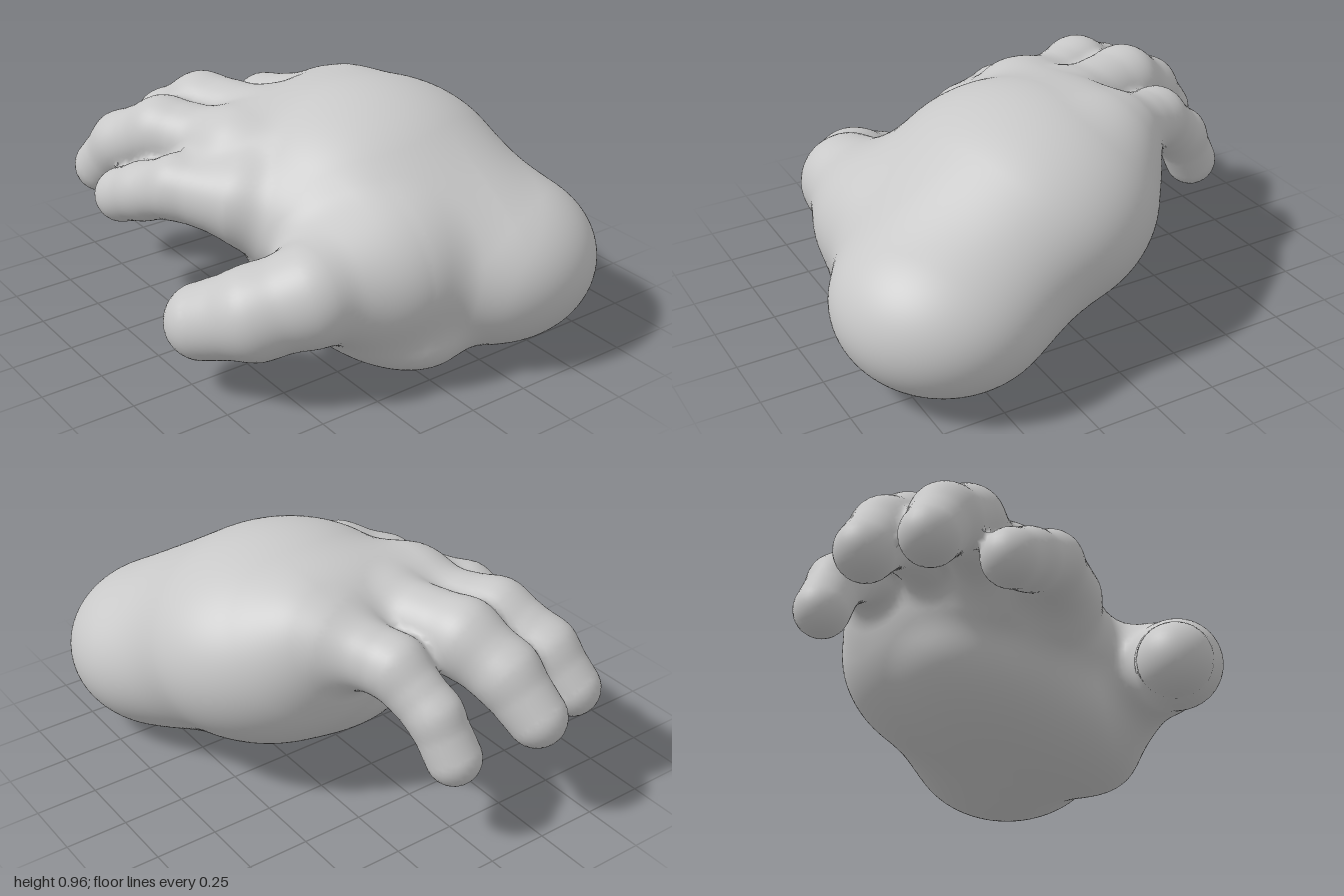
import * as THREE from 'three';
import { mergeVertices } from 'three/addons/utils/BufferGeometryUtils.js';

// Signed distance to an ellipsoid, optionally tilted about x
function ellipsoid([cx, cy, cz], [rx, ry, rz], tilt = 0) {
  const c = Math.cos(tilt), s = Math.sin(tilt);
  return (x, y, z) => {
    const dx = x - cx, dy = (y - cy) * c + (z - cz) * s, dz = (z - cz) * c - (y - cy) * s;
    const k0 = Math.hypot(dx / rx, dy / ry, dz / rz);
    const k1 = Math.hypot(dx / rx ** 2, dy / ry ** 2, dz / rz ** 2);
    return k1 < 1e-6 ? -Math.min(rx, ry, rz) : k0 * (k0 - 1) / k1;
  };
}

// Smooth union of two distances
function blend(a, b, k) {
  const h = Math.max(k - Math.abs(a - b), 0) / k;
  return Math.min(a, b) - h * h * k / 4;
}

// Tapered limb through joints [x, y, z, radius]
function limb(...joints) {
  return (x, y, z) => {
    let d = 9;
    for (let i = 1; i < joints.length; i++) {
      const [ax, ay, az, ar] = joints[i - 1], [bx, by, bz, br] = joints[i];
      const ux = bx - ax, uy = by - ay, uz = bz - az;
      let t = ((x - ax) * ux + (y - ay) * uy + (z - az) * uz) / (ux * ux + uy * uy + uz * uz);
      t = Math.min(1, Math.max(0, t));
      const e = Math.hypot(x - ax - t * ux, y - ay - t * uy, z - az - t * uz) - ar - t * (br - ar);
      d = i === 1 ? e : blend(d, e, 0.03);
    }
    return d;
  };
}

// Back of the hand, knuckle ridge, wrist ball, heel, index side and palm pad
const back = ellipsoid([0.18, 0.53, 0.13], [0.58, 0.43, 0.55], 0.15);
const knuckles = limb([0.27, 0.69, -0.2, 0.22], [-0.24, 0.65, -0.14, 0.23]);
const wrist = ellipsoid([0.425, 0.345, 0.57], [0.432, 0.335, 0.425]);
const heel = limb([-0.08, 0.39, 0.56, 0.27], [0.3, 0.37, 0.55, 0.32]);
const indexSide = limb([-0.2, 0.5, 0.3, 0.2], [-0.27, 0.55, 0.05, 0.2]);
const pad = ellipsoid([0.02, 0.275, 0.25], [0.37, 0.245, 0.59], 0.22);

const palm = (x, y, z) => {
  let d = blend(back(x, y, z), knuckles(x, y, z), 0.1);
  d = blend(d, indexSide(x, y, z), 0.08);
  d = blend(d, blend(wrist(x, y, z), heel(x, y, z), 0.08), 0.18);
  return blend(d, pad(x, y, z), 0.08);
};

const digits = {
  thumb: limb([-0.05, 0.42, 0.56, 0.24], [-0.42, 0.43, 0.57, 0.19], [-0.6, 0.37, 0.47, 0.175], [-0.72, 0.295, 0.3, 0.147]),
  indexFinger: limb([-0.38, 0.59, 0.04, 0.16], [-0.52, 0.6, -0.18, 0.128], [-0.58, 0.53, -0.36, 0.115], [-0.612, 0.475, -0.485, 0.112]),
  middleFinger: limb([-0.27, 0.68, -0.25, 0.15], [-0.4, 0.695, -0.5, 0.143], [-0.485, 0.6, -0.69, 0.13], [-0.535, 0.47, -0.805, 0.114]),
  ringFinger: limb([-0.07, 0.72, -0.3, 0.15], [-0.165, 0.715, -0.58, 0.15], [-0.235, 0.62, -0.75, 0.132], [-0.285, 0.475, -0.883, 0.117]),
  littleFinger: limb([0.23, 0.71, -0.32, 0.15], [0.13, 0.68, -0.55, 0.122], [0.075, 0.54, -0.72, 0.105], [0.045, 0.385, -0.805, 0.107]),
};
const { thumb, ...fingers } = digits;
const fingerFields = Object.values(fingers);

function hand(x, y, z) {
  let f = 9;
  for (const finger of fingerFields) f = blend(f, finger(x, y, z), 0.045);
  return blend(blend(palm(x, y, z), thumb(x, y, z), 0.12), f, 0.07);
}

function gradient(x, y, z) {
  const e = 0.004;
  return new THREE.Vector3(
    hand(x + e, y, z) - hand(x - e, y, z),
    hand(x, y + e, z) - hand(x, y - e, z),
    hand(x, y, z + e) - hand(x, y, z - e)).divideScalar(2 * e);
}

// Wrap the blended form in a grid of quads pulled onto its surface
function skin() {
  const step = 0.023, min = [-0.97, -0.1, -1.1], n = [84, 52, 96];
  const at = (i, j, k) => (i * n[1] + j) * n[2] + k;
  const pos = (i, a) => min[a] + i * step;
  const field = new Float32Array(n[0] * n[1] * n[2]);
  for (let i = 0; i < n[0]; i++) for (let j = 0; j < n[1]; j++) for (let k = 0; k < n[2]; k++)
    field[at(i, j, k)] = hand(pos(i, 0), pos(j, 1), pos(k, 2));

  const cells = new Map();
  const vertex = (i, j, k) => {
    const id = at(i, j, k);
    if (cells.has(id)) return cells.get(id);
    // Average the edge crossings of the cell
    const p = new THREE.Vector3();
    let count = 0;
    for (let a = 0; a < 8; a++) for (const bit of [1, 2, 4]) {
      if (a & bit) continue;
      const b = a | bit;
      const A = [i + (a & 1), j + (a >> 1 & 1), k + (a >> 2)], B = [i + (b & 1), j + (b >> 1 & 1), k + (b >> 2)];
      const fa = field[at(...A)], fb = field[at(...B)];
      if (fa < 0 === fb < 0) continue;
      const t = fa / (fa - fb);
      p.add(new THREE.Vector3(...A.map((v, q) => pos(v + t * (B[q] - v), q))));
      count++;
    }
    p.divideScalar(count);
    for (let r = 0; r < 2; r++) {
      const g = gradient(p.x, p.y, p.z);
      const move = -hand(p.x, p.y, p.z) / Math.max(g.lengthSq(), 0.3);
      p.addScaledVector(g, THREE.MathUtils.clamp(move, -step / 3, step / 3));
    }
    const v = { p, normal: gradient(p.x, p.y, p.z).normalize() };
    cells.set(id, v);
    return v;
  };

  const triangles = [];
  const addTriangle = (a, b, c) => {
    const face = b.p.clone().sub(a.p).cross(c.p.clone().sub(a.p));
    const out = a.normal.clone().add(b.normal).add(c.normal);
    triangles.push(face.dot(out) < 0 ? [a, c, b] : [a, b, c]);
  };
  for (let i = 1; i < n[0] - 1; i++) for (let j = 1; j < n[1] - 1; j++) for (let k = 1; k < n[2] - 1; k++)
    for (let axis = 0; axis < 3; axis++) {
      const o = [i, j, k], next = [i, j, k];
      next[axis]++;
      if (field[at(...o)] < 0 === field[at(...next)] < 0) continue;
      const u = (axis + 1) % 3, w = (axis + 2) % 3;
      const q = [[0, 0], [1, 0], [1, 1], [0, 1]].map(([du, dw]) => {
        const cell = [...o];
        cell[u] -= du;
        cell[w] -= dw;
        return vertex(...cell);
      });
      addTriangle(q[0], q[1], q[2]);
      addTriangle(q[0], q[2], q[3]);
    }
  return triangles;
}

export function createModel() {
  const group = new THREE.Group();
  group.name = 'hand';
  const grey = new THREE.MeshStandardMaterial({ color: 0xc8c8c8 });
  grey.name = 'grey';

  // Sort the skin into palm, thumb and fingers
  const fields = { palm, ...digits };
  const parts = {};
  for (const name in fields) parts[name] = { position: [], normal: [] };
  for (const tri of skin()) {
    const m = tri[0].p.clone().add(tri[1].p).add(tri[2].p).divideScalar(3);
    let best = 'palm', least = Infinity;
    for (const name in fields) {
      const d = fields[name](m.x, m.y, m.z);
      if (d < least) [best, least] = [name, d];
    }
    for (const v of tri) {
      parts[best].position.push(...v.p.toArray());
      parts[best].normal.push(...v.normal.toArray());
    }
  }

  for (const name in parts) {
    const geometry = new THREE.BufferGeometry();
    geometry.setAttribute('position', new THREE.Float32BufferAttribute(parts[name].position, 3));
    geometry.setAttribute('normal', new THREE.Float32BufferAttribute(parts[name].normal, 3));
    const mesh = new THREE.Mesh(mergeVertices(geometry, 1e-5), grey);
    mesh.name = name;
    group.add(mesh);
  }
  return group;
}
